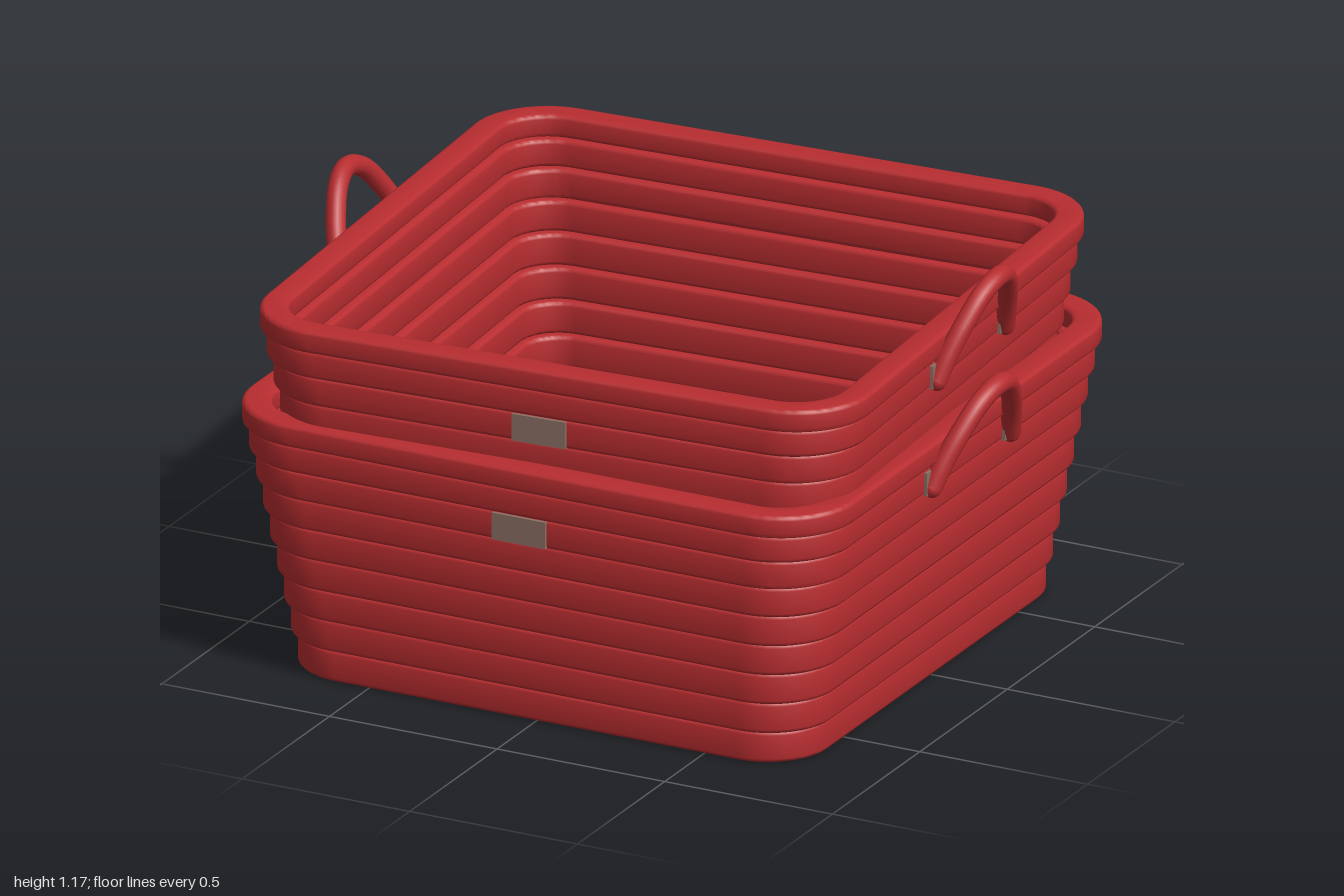
import * as THREE from 'three';
import { toCreasedNormals } from 'three/addons/utils/BufferGeometryUtils.js';

const red = new THREE.MeshStandardMaterial({ color: 0xb82d30 });
red.name = 'basket red';
const taupe = new THREE.MeshStandardMaterial({ color: 0x8a7064 });
taupe.name = 'tag taupe';

// band edges from the ground to the rim
const LEVELS = [0, 0.09, 0.18, 0.27, 0.36, 0.45, 0.537, 0.62, 0.697, 0.76];
const WALL = 0.08;
const BEVEL = 0.012;
const halfAt = (i) => 0.78 + 0.015 * i;

// rounded square outline of half width h and corner radius r
function roundedSquare(h, r, Type = THREE.Shape) {
  const s = new Type();
  const c = h - r;
  s.moveTo(h, -c);
  s.lineTo(h, c);
  s.absarc(c, c, r, 0, Math.PI / 2);
  s.lineTo(-c, h);
  s.absarc(-c, c, r, Math.PI / 2, Math.PI);
  s.lineTo(-h, -c);
  s.absarc(-c, -c, r, Math.PI, Math.PI * 1.5);
  s.lineTo(c, -h);
  s.absarc(c, -c, r, Math.PI * 1.5, Math.PI * 2);
  return s;
}

// upright slab of a shape between two heights, with softened edges
function slab(shape, y0, y1, bevel) {
  const g = new THREE.ExtrudeGeometry(shape, {
    depth: y1 - y0 - 2 * bevel, curveSegments: 10, bevelEnabled: bevel > 0,
    bevelThickness: bevel, bevelSize: bevel, bevelOffset: -bevel, bevelSegments: 3,
  });
  g.translate(0, 0, bevel);
  g.rotateX(-Math.PI / 2);
  g.translate(0, y0, 0);
  return toCreasedNormals(g, 0.7);
}

function add(parent, name, geometry, material, x = 0, y = 0, z = 0) {
  const m = new THREE.Mesh(geometry, material);
  m.name = name;
  m.position.set(x, y, z);
  parent.add(m);
  return m;
}

// arched handle leaning outward on the +x side, with its two clips
function makeHandle() {
  const g = new THREE.Group();
  const pts = [
    [0.893, 0.635, 0.225], [0.912, 0.70, 0.193], [0.937, 0.772, 0.146], [0.961, 0.839, 0.078], [0.972, 0.863, 0],
    [0.961, 0.839, -0.078], [0.937, 0.772, -0.146], [0.912, 0.70, -0.193], [0.893, 0.635, -0.225],
  ].map((p) => new THREE.Vector3(...p));
  const path = new THREE.CatmullRomCurve3(pts);
  add(g, 'handleArch', new THREE.TubeGeometry(path, 40, 0.028, 12), red);
  for (const s of [1, -1]) {
    add(g, 'handleEnd', new THREE.SphereGeometry(0.028, 12, 8), red, 0.893, 0.635, s * 0.225);
    add(g, 'handleClip', new THREE.BoxGeometry(0.0095, 0.065, 0.065), taupe, halfAt(7) + 0.004, 0.652, s * 0.222);
  }
  return g;
}

function makeBasket(name) {
  const basket = new THREE.Group();
  basket.name = name;
  // stacked coils widening toward the rim
  for (let i = 0; i < LEVELS.length - 1; i++) {
    const h = halfAt(i);
    const r = 0.18 + 0.005 * i;
    const ring = roundedSquare(h, r);
    ring.holes.push(roundedSquare(h - WALL, r - WALL, THREE.Path));
    add(basket, i === LEVELS.length - 2 ? 'rim' : 'coil', slab(ring, LEVELS[i], LEVELS[i + 1], BEVEL), red);
  }
  add(basket, 'floor', slab(roundedSquare(halfAt(0) - WALL + 0.01, 0.11), 0.004, 0.04, 0), red);
  // front tag
  add(basket, 'frontTag', new THREE.BoxGeometry(0.16, 0.076, 0.0095), taupe, 0, 0.578, halfAt(6) + 0.004);
  // handles on both sides
  for (const turn of [0, Math.PI]) {
    const handle = makeHandle();
    handle.name = turn ? 'rightHandle' : 'leftHandle';
    handle.rotation.y = turn;
    basket.add(handle);
  }
  return basket;
}

export function createModel() {
  const model = new THREE.Group();
  model.name = 'stackedBaskets';
  model.add(makeBasket('lowerBasket'));
  // the upper basket nests inside, slightly turned
  const upper = makeBasket('upperBasket');
  upper.scale.set(0.973, 1, 0.973);
  upper.position.y = 0.283;
  upper.rotation.y = 0.055;
  model.add(upper);
  return model;
}
